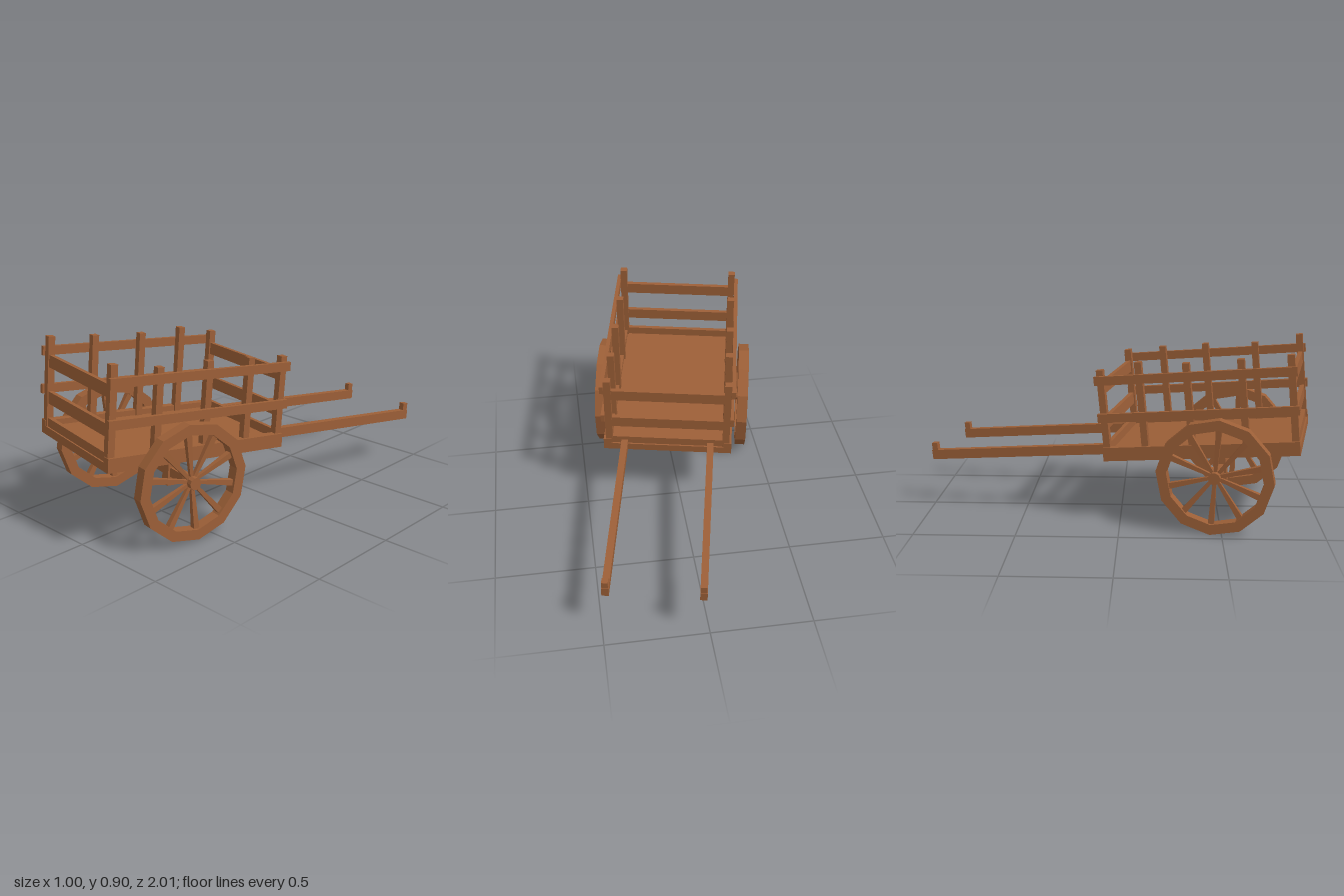
import * as THREE from 'three';

const wood = new THREE.MeshStandardMaterial({ color: 0x9c5f37, flatShading: true });
wood.name = 'brown wood';

function add(parent, name, geometry, x = 0, y = 0, z = 0) {
  const mesh = new THREE.Mesh(geometry, wood);
  mesh.name = name;
  mesh.position.set(x, y, z);
  parent.add(mesh);
  return mesh;
}

// box placed by the height of its underside
function beam(parent, name, w, h, d, x, y, z) {
  return add(parent, name, new THREE.BoxGeometry(w, h, d), x, y + h / 2, z);
}

function polygon(shape, radius, sides) {
  for (let i = 0; i < sides; i++) {
    const a = ((i + 0.3) / sides) * Math.PI * 2;
    shape[i ? 'lineTo' : 'moveTo'](radius * Math.cos(a), radius * Math.sin(a));
  }
  shape.closePath();
  return shape;
}

// twelve-sided rim, ten flared spokes and a hub, axis along x
function makeWheel() {
  const wheel = new THREE.Group();
  wheel.name = 'wheel';
  const width = 0.056;
  const shape = polygon(new THREE.Shape(), 0.288, 12);
  shape.holes.push(polygon(new THREE.Path(), 0.237, 12));
  const rim = new THREE.ExtrudeGeometry(shape, { depth: width, bevelEnabled: false });
  rim.translate(0, 0, -width / 2);
  rim.rotateY(Math.PI / 2);
  add(wheel, 'rim', rim);

  const spokeCount = 10;
  for (let i = 0; i < spokeCount; i++) {
    const spoke = new THREE.CylinderGeometry(0.021, 0.011, 0.225, 4);
    spoke.rotateY(Math.PI / 4);
    spoke.translate(0, 0.13, 0);
    spoke.rotateX(((i + 0.25) / spokeCount) * Math.PI * 2);
    add(wheel, 'spoke', spoke);
  }
  const hub = new THREE.CylinderGeometry(0.03, 0.03, 0.075, 10);
  hub.rotateZ(Math.PI / 2);
  add(wheel, 'hub', hub);
  return wheel;
}

export function createModel() {
  const model = new THREE.Group();
  model.name = 'handCart';

  // the cart stands turned and tipped back onto its lowered shafts
  const cart = new THREE.Group();
  cart.name = 'cart';
  cart.position.set(-0.029, 0.361, 0.457);
  cart.rotation.set(-0.095, -0.198, 0.012, 'YXZ');
  model.add(cart);

  beam(cart, 'floor', 0.67, 0.04, 0.97, 0, 0, 0);

  // upright posts: z position, top on the right side, top on the left side
  const posts = [
    [0.465, 0.484, 0.486],
    [0.23, 0.476, 0.456],
    [-0.035, 0.471, 0.465],
    [-0.27, 0.488, 0.463],
    [-0.465, 0.458, 0.456],
  ];

  for (const side of [-1, 1]) {
    // slatted side
    for (const [z, rightTop, leftTop] of posts) {
      const top = side < 0 ? rightTop : leftTop;
      beam(cart, 'post', 0.036, top - 0.03, 0.034, side * 0.305, 0.03, z);
    }
    beam(cart, 'sideSill', 0.04, 0.028, 0.97, side * 0.315, 0.04, 0);
    for (const y of [0.198, 0.386]) {
      beam(cart, 'sideRail', 0.02, 0.044, 0.985, side * 0.332, y, 0);
    }

    // front and back boards
    for (const [y, h] of [[0.04, 0.043], [0.156, 0.06], [0.335, 0.06]]) {
      beam(cart, side > 0 ? 'frontBoard' : 'backBoard', 0.585, h, 0.022, 0, y, side * 0.466);
    }

    // pulling shaft with an upright peg at its tip
    beam(cart, 'shaft', 0.034, 0.05, 0.98, side * 0.225, 0.012, -0.96);
    beam(cart, 'shaftPeg', 0.03, 0.045, 0.03, side * 0.225, 0.055, -1.432);

    // axle bracket and wheel
    beam(cart, 'axleBracket', 0.05, 0.145, 0.065, side * 0.216, -0.145, 0.078);
    const wheel = makeWheel();
    wheel.position.set(side * 0.39, -0.078, 0.078);
    cart.add(wheel);
  }

  beam(cart, 'axle', 0.8, 0.044, 0.044, 0, -0.1, 0.078);

  return model;
}
